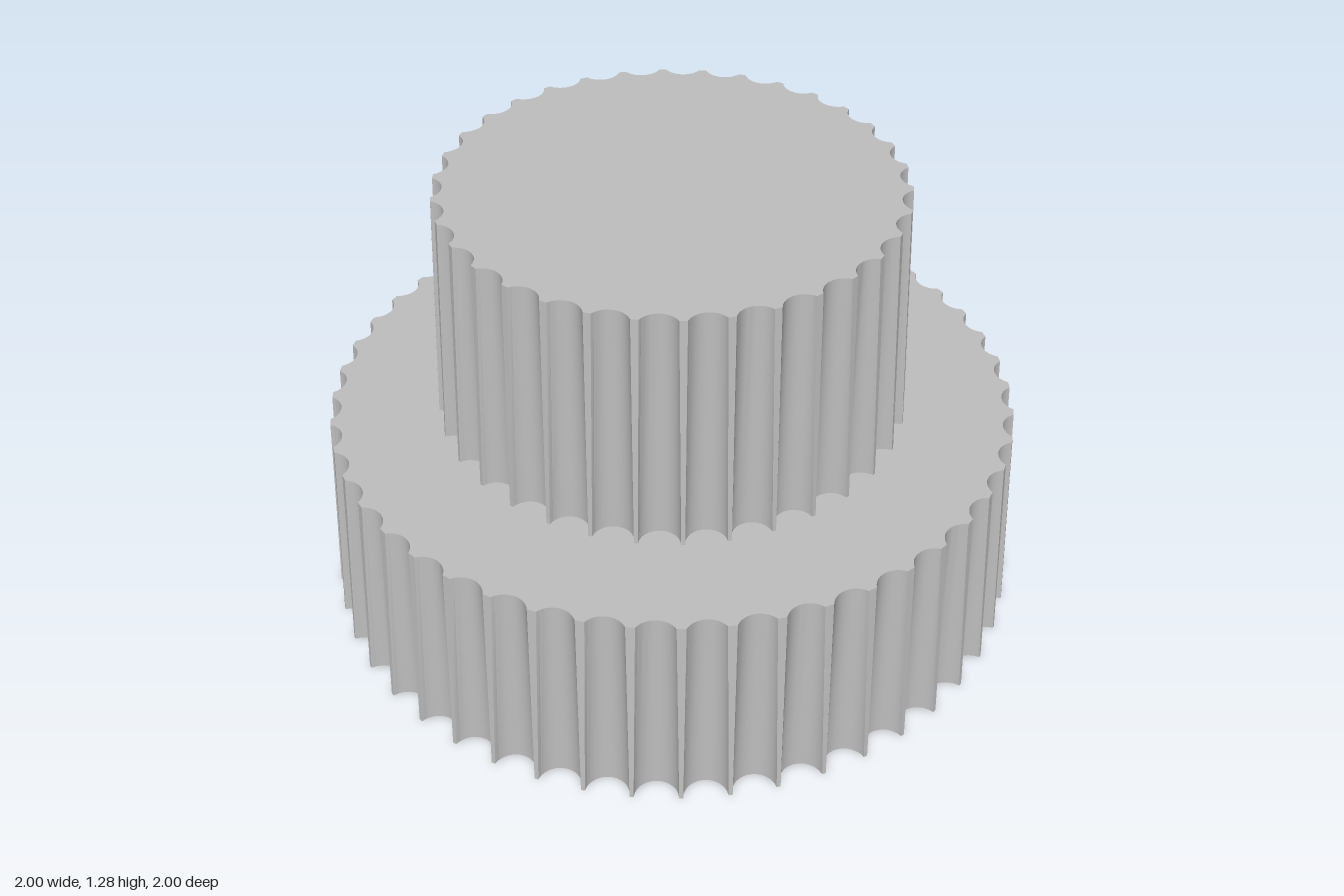
import * as THREE from 'three';
import { toCreasedNormals } from 'three/addons/utils/BufferGeometryUtils.js';

const ARC_STEPS = 12;
const BORE_RADIUS = 0.31;
const BORE_DEPTH = 1.0;

// Outline of a disc of radius r with vertical round flutes cut into its rim
function flutedOutline(r, { count, centre, flute }) {
  const half = Math.acos((centre ** 2 + flute ** 2 - r ** 2) / (2 * centre * flute));
  const points = [];
  for (let i = 0; i < count; i++) {
    const turn = (i / count) * Math.PI * 2;
    for (let j = 0; j <= ARC_STEPS; j++) {
      const a = half * (2 * j / ARC_STEPS - 1);
      const p = new THREE.Vector2(centre - flute * Math.cos(a), flute * Math.sin(a));
      points.push(p.rotateAround(new THREE.Vector2(), turn));
    }
  }
  return points;
}

// Wall ruled between the lower and upper outlines
function wallGeometry(low, high, y0, y1) {
  const pos = [];
  const n = low.length;
  for (let i = 0; i < n; i++) {
    const k = (i + 1) % n;
    const a = [low[i].x, y0, -low[i].y], b = [low[k].x, y0, -low[k].y];
    const c = [high[k].x, y1, -high[k].y], d = [high[i].x, y1, -high[i].y];
    pos.push(...a, ...b, ...c, ...a, ...c, ...d);
  }
  const geo = new THREE.BufferGeometry();
  geo.setAttribute('position', new THREE.Float32BufferAttribute(pos, 3));
  return toCreasedNormals(geo, 0.6);
}

// Flat end face, optionally with a round hole
function capGeometry(outline, y, facing, holeRadius) {
  const shape = new THREE.Shape(outline);
  if (holeRadius) {
    shape.holes.push(new THREE.Path().absarc(0, 0, holeRadius, 0, Math.PI * 2, true));
  }
  return new THREE.ShapeGeometry(shape, 32).rotateX(-facing * Math.PI / 2).translate(0, y, 0);
}

export function createModel() {
  const model = new THREE.Group();
  model.name = 'flutedKnob';
  const grey = new THREE.MeshStandardMaterial({ color: 0xbfbfbf });
  grey.name = 'grey';
  const boreGrey = grey.clone();
  boreGrey.side = THREE.BackSide;

  const add = (name, geometry, material = grey) => {
    const mesh = new THREE.Mesh(geometry, material);
    mesh.name = name;
    model.add(mesh);
  };

  // Wide base tier
  const base = { count: 48, centre: 1.0, flute: 0.06 };
  const baseLow = flutedOutline(1.0, base), baseHigh = flutedOutline(0.97, base);
  add('baseWall', wallGeometry(baseLow, baseHigh, 0, 0.59));
  add('baseUnderside', capGeometry(baseLow, 0, -1, BORE_RADIUS));
  add('baseShoulder', capGeometry(baseHigh, 0.59, 1, 0.5));

  // Narrow grip tier
  const grip = { count: 34, centre: 0.664, flute: 0.056 };
  const gripLow = flutedOutline(0.664, grip), gripHigh = flutedOutline(0.638, grip);
  add('gripWall', wallGeometry(gripLow, gripHigh, 0.59, 1.28));
  add('gripTop', capGeometry(gripHigh, 1.28, 1));

  // Blind shaft bore, seen from below
  add('boreWall', new THREE.CylinderGeometry(BORE_RADIUS, BORE_RADIUS, BORE_DEPTH, 64, 1, true)
    .translate(0, BORE_DEPTH / 2, 0), boreGrey);
  add('boreEnd', new THREE.CircleGeometry(BORE_RADIUS, 64)
    .rotateX(Math.PI / 2).translate(0, BORE_DEPTH, 0));

  return model;
}
